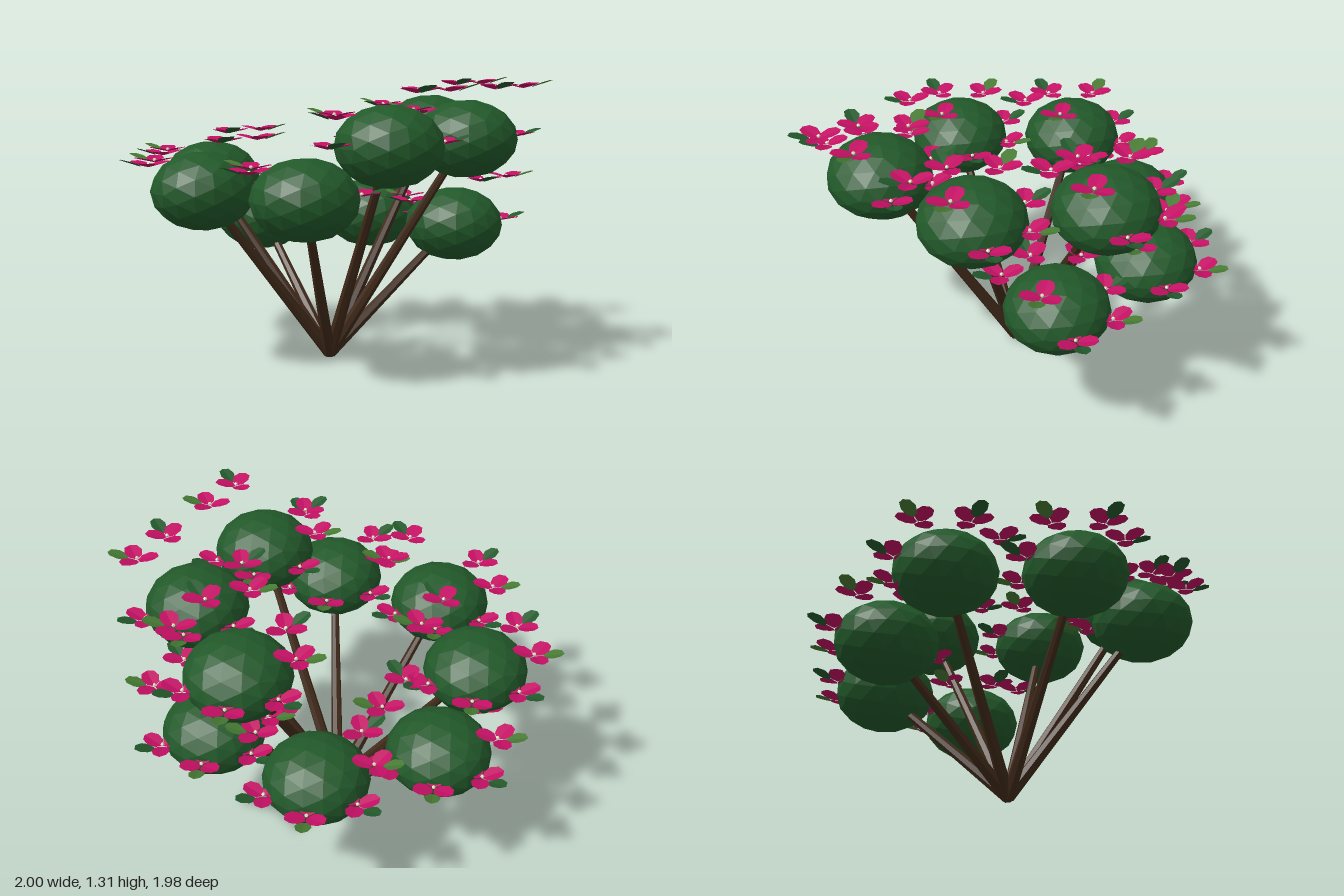
import * as THREE from 'three';

const mat = (name, color, extra = {}) => {
  const m = new THREE.MeshStandardMaterial({ color, flatShading: true, ...extra });
  m.name = name;
  return m;
};

export function createModel() {
  const bark = mat('bark brown', 0x412a1a);
  const foliage = mat('foliage green', 0x22592a);
  const lightLeaf = mat('light leaf green', 0x467a33, { side: THREE.DoubleSide });
  const darkLeaf = mat('dark leaf green', 0x235a2c, { side: THREE.DoubleSide });
  const magenta = mat('bract magenta', 0xc41064, { side: THREE.DoubleSide });
  const cream = mat('cream', 0xf0e6c8);

  // Thin oval blade lying along +x from the origin, lightly folded and curving upwards
  const blade = (start, length, width, rise, fold) => {
    const g = new THREE.CircleGeometry(1, 8).rotateX(-Math.PI / 2);
    const p = g.attributes.position;
    for (let i = 0; i < p.count; i++) {
      const u = (p.getX(i) + 1) / 2;
      const w = p.getZ(i);
      p.setXYZ(i, start + u * length, rise * u + fold * Math.abs(w), w * width / 2);
    }
    g.computeVertexNormals();
    return g;
  };
  const bractGeo = blade(0.004, 0.093, 0.08, 0.022, 0.006);
  const leafGeo = blade(0.035, 0.093, 0.07, 0.032, 0.006);
  const centreGeo = new THREE.IcosahedronGeometry(0.009, 0);
  const clumpGeo = new THREE.IcosahedronGeometry(0.233, 2).scale(1, 0.755, 1);

  const add = (parent, name, geo, material) => {
    const mesh = new THREE.Mesh(geo, material);
    mesh.name = name;
    parent.add(mesh);
    return mesh;
  };

  // Golden-angle spiral shared by the branches and the flowers
  const golden = Math.PI * (3 - Math.sqrt(5));
  const spiral = (i, radius, y) =>
    new THREE.Vector3(Math.cos(i * golden) * radius, y, -Math.sin(i * golden) * radius);

  // Three bracts around a small centre, with one leaf pointing outwards
  const makeFlower = (i) => {
    const flower = new THREE.Group();
    flower.name = 'flower';
    for (let k = 0; k < 3; k++) {
      add(flower, 'bract', bractGeo, magenta).rotation.y = Math.PI / 3 + k * Math.PI * 2 / 3;
    }
    add(flower, 'flowerCentre', centreGeo, cream).position.y = 0.01;
    add(flower, 'leaf', leafGeo, i % 2 ? lightLeaf : darkLeaf).position.y = 0.003;
    flower.position.copy(spiral(i, 0.25, 0.005 + 0.112 * (i % 3)));
    flower.rotation.y = i * golden;
    return flower;
  };

  const model = new THREE.Group();
  model.name = 'floweringShrub';
  const plant = new THREE.Group();
  plant.name = 'plant';
  plant.position.set(-0.008, 0, -0.008);
  model.add(plant);

  const base = new THREE.Vector3(0, 0.02, 0);
  const up = new THREE.Vector3(0, 1, 0);
  for (let i = 0; i < 9; i++) {
    const tip = spiral(i, 0.63, 0.612 + 0.218 * (i % 3));

    // Tapered branch from the base to the clump
    const dir = tip.clone().sub(base);
    const branch = add(plant, 'branch',
      new THREE.CylinderGeometry(0.017, 0.03, dir.length(), 7), bark);
    branch.position.copy(base).addScaledVector(dir, 0.5);
    branch.quaternion.setFromUnitVectors(up, dir.normalize());

    // Foliage clump with its flowers
    const clump = new THREE.Group();
    clump.name = 'clump';
    clump.position.copy(tip);
    add(clump, 'foliage', clumpGeo, foliage);
    for (let k = 0; k < 7; k++) clump.add(makeFlower(k));
    plant.add(clump);
  }
  return model;
}
